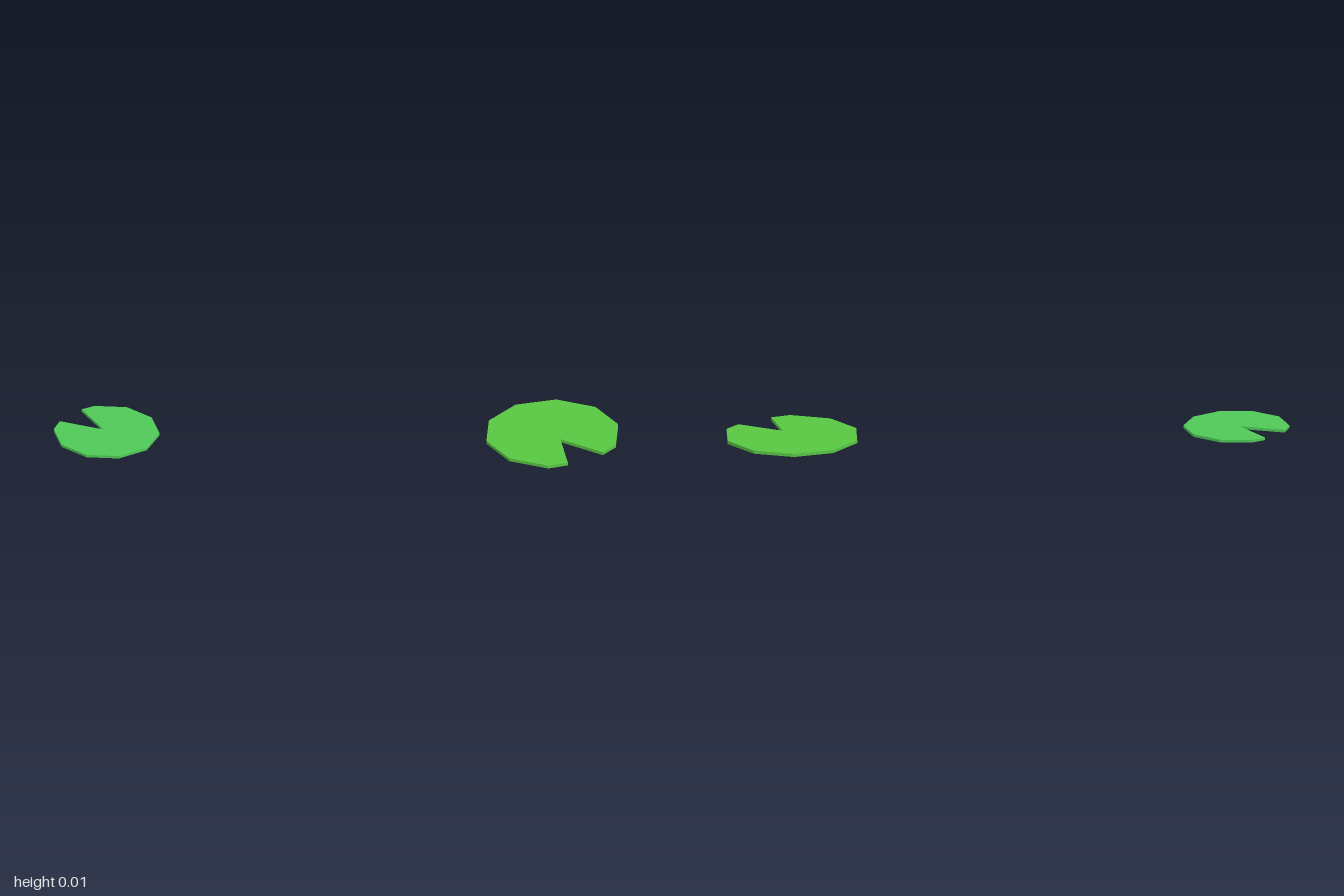
import * as THREE from 'three';

// Ten-sided flat leaf with one corner replaced by a V-shaped notch.
// phase: angle (degrees, from +x towards +z) of the corner just after which the notch sits.
// notch: [x, z] points relative to the leaf centre, replacing the missing corner.
function lilyPad({ name, x, z, radius, height, phase, notch, color }) {
  const points = notch.map(([px, pz]) => new THREE.Vector2(px, -pz));
  for (let i = 2; i <= 10; i++) {
    const a = THREE.MathUtils.degToRad(phase + i * 36);
    points.push(new THREE.Vector2(radius * Math.cos(a), -radius * Math.sin(a)));
  }
  const geometry = new THREE.ExtrudeGeometry(new THREE.Shape(points), {
    depth: height, bevelEnabled: false,
  });
  geometry.rotateX(-Math.PI / 2); // lay flat, thickness upwards
  const material = new THREE.MeshStandardMaterial({ color });
  material.flatShading = true;
  const mesh = new THREE.Mesh(geometry, material);
  mesh.name = name;
  mesh.position.set(x, 0, z);
  return mesh;
}

export function createModel() {
  const group = new THREE.Group();
  group.name = 'lilyPads';
  group.add(
    // Large leaf, notch opening towards the front left
    lilyPad({
      name: 'largeLilyPad', x: 0.753, z: -0.19, radius: 0.248, height: 0.012, phase: 5.5,
      notch: [[0.217, 0.091], [0.042, 0.04], [0.116, 0.2]], color: 0x58c742,
    }),
    // Small leaf, notch opening towards the back right
    lilyPad({
      name: 'smallLilyPad', x: -0.811, z: 0.24, radius: 0.193, height: 0.01, phase: 168.7,
      notch: [[-0.184, -0.024], [-0.014, -0.008], [-0.132, -0.131]], color: 0x50c858,
    }),
  );
  return group;
}
